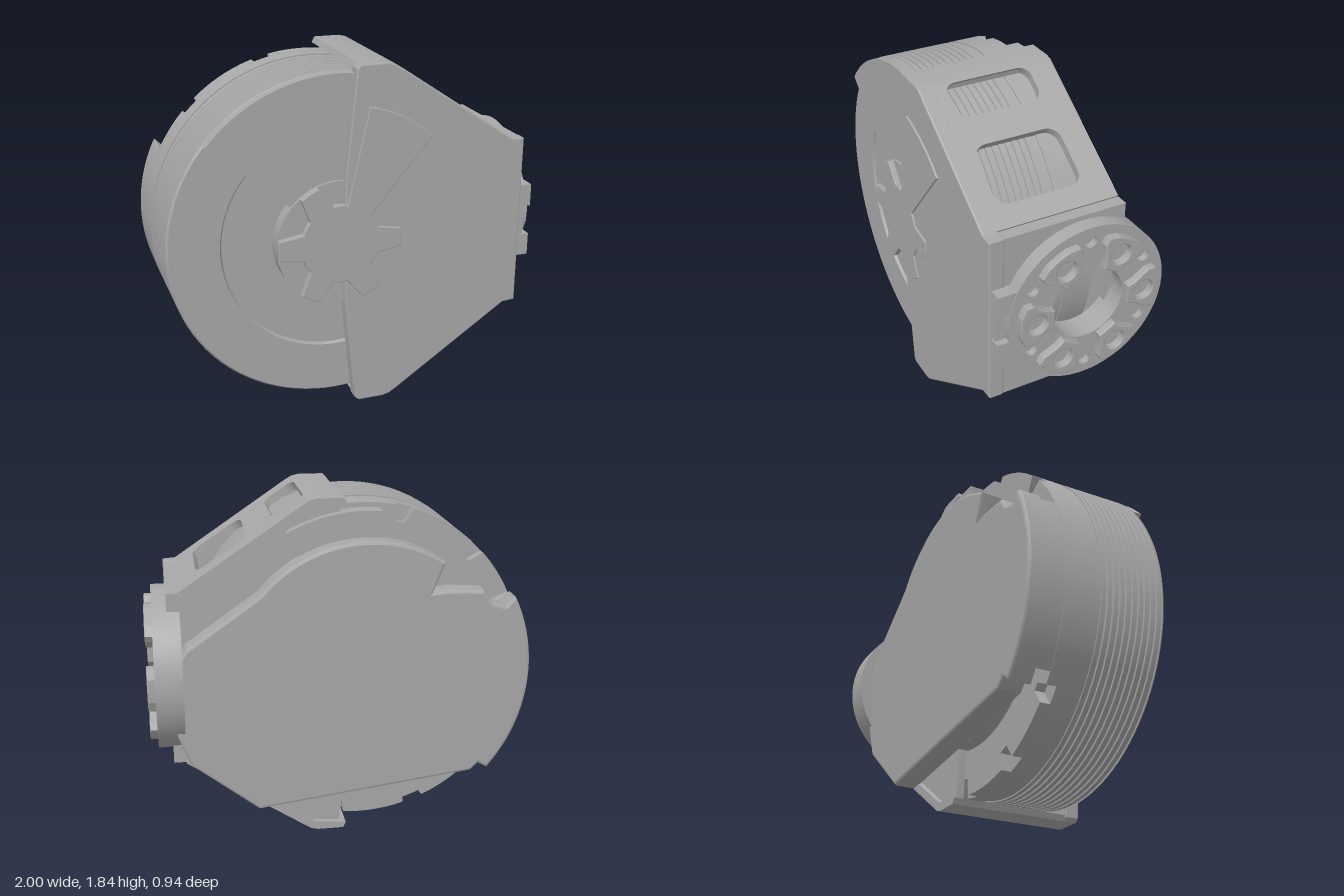
import * as THREE from 'three';
import { toCreasedNormals } from 'three/addons/utils/BufferGeometryUtils.js';

const CX = -0.125, CY = 0.925; // drum axis
const grey = new THREE.MeshStandardMaterial({ color: 0xa8a8a8 });
grey.name = 'grey metal';

export function createModel() {
  const model = new THREE.Group();

  const add = (name, geo, parent = model) => {
    const m = new THREE.Mesh(toCreasedNormals(geo, 0.3), grey);
    m.name = name;
    parent.add(m);
    return m;
  };
  const poly = pts => new THREE.Shape(pts.map(p => new THREE.Vector2(p[0], p[1])));
  const extrude = (shape, z0, z1, bevel = 0) => {
    const geo = new THREE.ExtrudeGeometry(shape, {
      depth: z1 - z0 - 2 * bevel, bevelEnabled: bevel > 0, bevelSize: bevel,
      bevelThickness: bevel, bevelOffset: -bevel, bevelSegments: 2, curveSegments: 32,
    });
    return geo.translate(0, 0, z0 + bevel);
  };
  const box = (x0, x1, y0, y1, z0, z1) => new THREE.BoxGeometry(x1 - x0, y1 - y0, z1 - z0)
    .translate((x0 + x1) / 2, (y0 + y1) / 2, (z0 + z1) / 2);
  const polar = (r, deg) => [CX + r * Math.cos(deg * Math.PI / 180), CY + r * Math.sin(deg * Math.PI / 180)];
  const arc = (r, a0, a1, n = 24) => Array.from({ length: n + 1 }, (_, i) => polar(r, a0 + (a1 - a0) * i / n));
  const circle = (x, y, r) => new THREE.Path().absarc(x, y, r, 0, Math.PI * 2, true);
  const slot = (x0, x1, y0, y1, r) => {
    const p = new THREE.Path();
    p.absarc(x0 + r, y0 + r, r, Math.PI * 1.5, Math.PI, true);
    p.absarc(x0 + r, y1 - r, r, Math.PI, Math.PI / 2, true);
    p.absarc(x1 - r, y1 - r, r, Math.PI / 2, 0, true);
    p.absarc(x1 - r, y0 + r, r, 0, -Math.PI / 2, true);
    p.closePath();
    return p;
  };
  const drumCylinder = (r, z0, z1) => new THREE.CylinderGeometry(r, r, z1 - z0, 96)
    .rotateX(Math.PI / 2).translate(CX, CY, (z0 + z1) / 2);

  // Drum with cooling grooves and a shallow recessed face
  const profile = [[0, -0.135], [0.875, -0.135], [0.875, -0.03], [0.868, -0.03], [0.868, 0.01]];
  for (let i = 0; i < 10; i++) {
    const z = 0.01 + i * 0.036;
    profile.push([0.875, z], [0.875, z + 0.022], [0.864, z + 0.024], [0.864, z + 0.034]);
  }
  profile.push([0.875, 0.368], [0.865, 0.38], [0.605, 0.38], [0.595, 0.365], [0, 0.365]);
  add('drum', new THREE.LatheGeometry(profile.map(p => new THREE.Vector2(...p)), 96)
    .rotateX(Math.PI / 2).translate(CX, CY, 0));

  // Notched rear rim of the drum, raised behind the bracket, and the core under the cover
  const notches = [75, 105, 135, 222, 250, 280, 310];
  const rim = [];
  for (let a = 0; a < 360; a += 1.5) {
    rim.push(polar(notches.some(n => Math.abs(a - n) < 2.8) ? 0.79 : 0.875, a));
  }
  add('drumRearRim', extrude(poly(rim), -0.19, -0.13));
  add('raisedRearRim', extrude(poly([...arc(0.85, 62, 96), ...arc(0.66, 96, 62)]), -0.29, -0.18));
  add('drumCore', drumCylinder(0.64, -0.27, -0.18));

  // Rear cover: round on top, stepped at the side, sloping at the bottom
  const cover = poly([
    [0.45, 0.21], [0.8, 0.49], [0.87, 0.68], [0.87, 1.02], [0.8, 1.12],
    ...arc(0.715, 40, 124, 24),
    [-0.46, 1.36], [-0.55, 1.37], [-0.73, 1.36], [-0.78, 1.29], [-0.85, 1.27], [-0.9, 1.32],
    ...arc(0.872, 154, 216, 20),
    [-0.79, 0.36], [-0.74, 0.39], [-0.7, 0.35],
  ]);
  add('rearCover', extrude(cover, -0.39, -0.26, 0.015));
  add('rearCoverSide', extrude(poly([...arc(0.872, 155, 215), ...arc(0.65, 215, 155)]), -0.36, -0.18));

  // Front cover sector and hub
  add('frontSector', extrude(poly([...arc(0.872, 80, 140), [CX, CY]]), 0.36, 0.43));
  add('hubDisc', drumCylinder(0.33, 0.355, 0.445));
  const gear = [];
  for (let i = 0; i < 6; i++) {
    const a = i * 60;
    gear.push(...arc(0.21, a - 40, a - 20, 4));
    // one tooth reaches out as a long wedge
    if (i === 1) gear.push(...arc(0.72, 47, 78, 12));
    else gear.push(...arc(0.33, a - 9, a + 9, 4));
  }
  add('hubGear', extrude(poly(gear), 0.4, 0.475, 0.005));

  // Bracket front plate and rear webs
  const outline = [[0.89, 0.46], [0.89, 1.385], [0.82, 1.39], [0.2, 1.805], [0.16, 1.83], [0.12, 1.84],
    [-0.02, 1.84], [-0.04, 1.82], [-0.1, 1.24], [-0.1, 0.61], [-0.04, 0.02], [-0.02, 0],
    [0.12, 0], [0.16, 0.01], [0.2, 0.035], [0.82, 0.455]];
  add('bracketFrontPlate', extrude(poly(outline), 0.385, 0.465, 0.008));
  const web = poly([[0.86, 0.5], [0.86, 1.34], [0.18, 1.79], [0, 1.81], [-0.03, 1.55],
    [-0.03, 0.3], [0, 0.03], [0.18, 0.05]]);
  add('bracketRearWeb', extrude(web, -0.24, -0.2));
  add('bracketRearCorner', extrude(poly([[0.4, 0.9], [0.88, 0.9], [0.88, 1.36], [0.82, 1.37], [0.4, 1.65]]),
    -0.268, -0.22));

  // Bracket top and bottom walls, mirrored, with two slots in each slope
  const len = 0.793, thick = 0.045;
  const along = new THREE.Vector3(0.832, -0.555, 0);
  const out = new THREE.Vector3(0.555, 0.832, 0);
  for (const side of [1, -1]) {
    const wall = new THREE.Group();
    wall.name = side > 0 ? 'bracketTopWall' : 'bracketBottomWall';
    wall.scale.y = side;
    wall.position.y = side > 0 ? 0 : 1.84;
    model.add(wall);
    const slope = poly([[0, -0.45], [len, -0.45], [len, 0.27], [0, 0.27]]);
    slope.holes.push(slot(0.005, 0.2, -0.33, 0.13, 0.06), slot(0.36, 0.68, -0.33, 0.13, 0.07));
    const place = new THREE.Matrix4().makeBasis(along, new THREE.Vector3(0, 0, -1), out)
      .setPosition(0.16 - out.x * thick, 1.83 - out.y * thick, 0);
    add('slottedSlope', extrude(slope, 0, thick).applyMatrix4(place), wall);
    add('flatWall', extrude(poly([[-0.035, 1.81], [0.15, 1.79], [0.16, 1.83], [0.12, 1.84], [-0.02, 1.84]]),
      -0.27, 0.45), wall);
  }

  // Output port on the +x side, drawn in (-z, y) and extruded along x
  const PU = 0.035;
  const sideways = (shape, x0, x1, bevel) => extrude(shape, x0, x1, bevel).rotateY(Math.PI / 2);
  const end = poly([[-0.45, 0.46], [0.27, 0.46], [0.27, 1.385], [-0.45, 1.385]]);
  end.holes.push(circle(PU, CY, 0.2));
  add('bracketEndWall', sideways(end, 0.82, 0.885));

  const disc = (r, hole) => {
    const s = new THREE.Shape().absarc(PU, CY, r, 0, Math.PI * 2);
    s.holes.push(circle(PU, CY, hole));
    return s;
  };
  const at = (r, deg) => [PU + r * Math.cos(deg * Math.PI / 180), CY + r * Math.sin(deg * Math.PI / 180)];
  add('portBase', sideways(disc(0.435, 0.2), 0.82, 0.925));
  const face = disc(0.435, 0.2);
  for (let i = 0; i < 6; i++) face.holes.push(circle(...at(0.355, 30 + i * 60), 0.032));
  add('portFace', sideways(face, 0.92, 0.96));

  // Six raised screw bosses
  for (let i = 0; i < 6; i++) {
    const t = i * Math.PI / 3, c = Math.cos(t), s = Math.sin(t);
    const boss = poly([[0.205, -0.05], [0.25, -0.065], [0.32, -0.115], [0.36, -0.115], [0.385, -0.06],
      [0.39, 0], [0.385, 0.06], [0.36, 0.115], [0.32, 0.115], [0.25, 0.065], [0.205, 0.05]]
      .map(([r, w]) => [PU + r * c - w * s, CY + r * s + w * c]));
    boss.holes.push(circle(...at(0.3, i * 60), 0.055));
    add('portBoss', sideways(boss, 0.95, 1, 0.006));
  }

  // Tab beside the port, with a notch in its middle
  add('portTabUpper', box(0.82, 0.955, 1, 1.12, 0.34, 0.455));
  add('portTabLower', box(0.82, 0.955, 0.72, 0.84, 0.34, 0.455));
  add('portTabMiddle', box(0.82, 0.92, 0.84, 1, 0.34, 0.45));

  return model;
}
